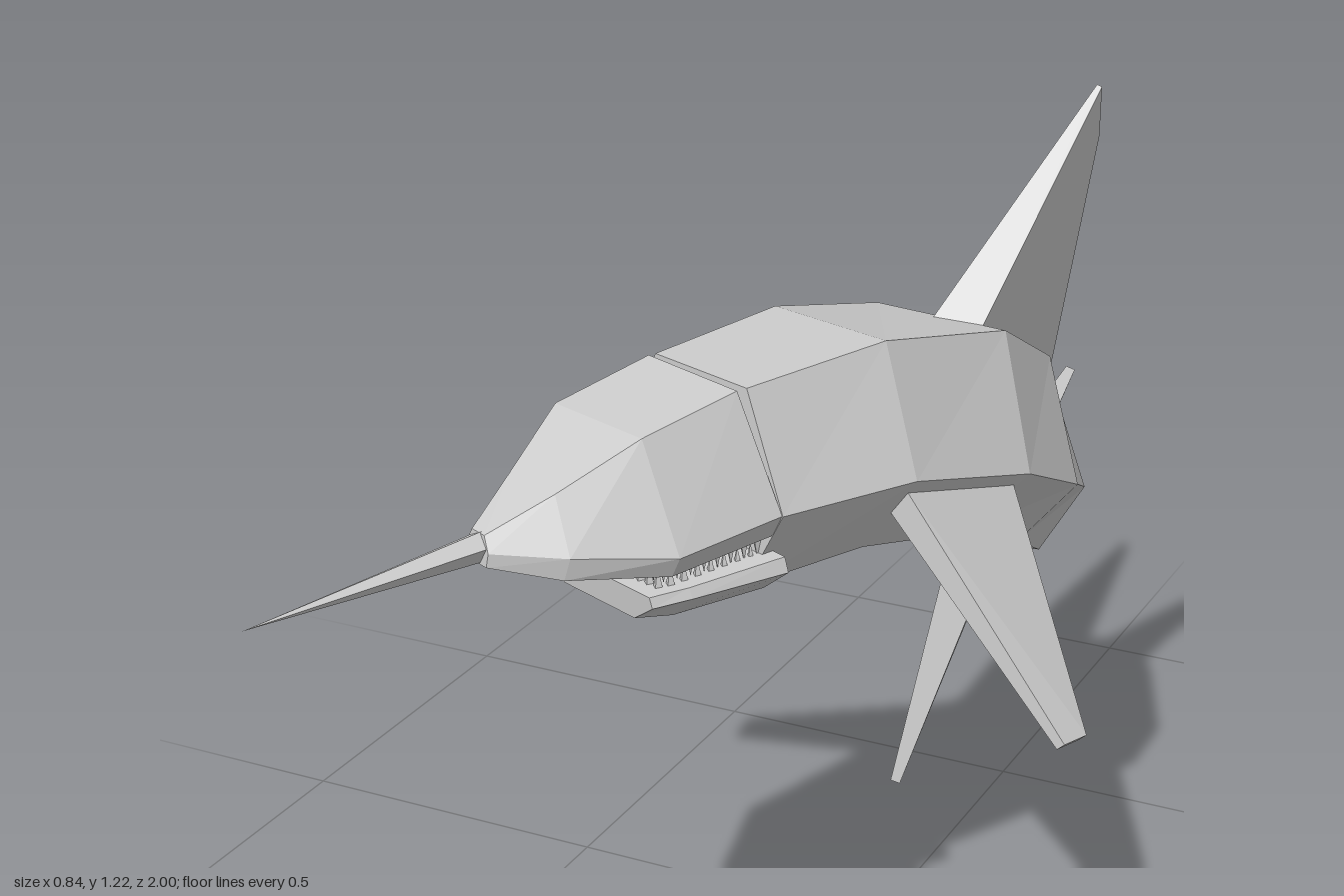
import * as THREE from 'three';
import { ConvexGeometry } from 'three/addons/geometries/ConvexGeometry.js';

const V = (x, y, z) => new THREE.Vector3(x, y, z);
const material = new THREE.MeshStandardMaterial({ color: 0xcccccc, flatShading: true, side: THREE.DoubleSide });

function part(name, geometry) {
  const mesh = new THREE.Mesh(geometry, material);
  mesh.name = name;
  return mesh;
}

// Six-sided loft; each station is [x, y, z, half width, height above, depth below], front to back.
function loft(stations, topRatio, bottomRatio) {
  const centres = stations.map(([x, y, z]) => V(x, y, z));
  const positions = [], index = [], n = 6, last = stations.length - 1;
  stations.forEach(([, , , w, up, down], i) => {
    const forward = centres[Math.max(i - 1, 0)].clone().sub(centres[Math.min(i + 1, last)]).normalize();
    const side = V(0, 1, 0).cross(forward).normalize();
    const top = forward.clone().cross(side);
    const ring = [[topRatio * w, up], [w, 0], [bottomRatio * w, -down],
      [-bottomRatio * w, -down], [-w, 0], [-topRatio * w, up]];
    for (const [a, b] of ring) {
      positions.push(...centres[i].clone().addScaledVector(side, a).addScaledVector(top, b).toArray());
    }
  });
  for (let i = 0; i < last; i++) {
    for (let j = 0; j < n; j++) {
      const a = i * n + j, b = i * n + (j + 1) % n;
      index.push(a, a + n, b, b, a + n, b + n);
    }
  }
  // End caps
  for (let j = 1; j < n - 1; j++) {
    index.push(0, j, j + 1, last * n, last * n + j + 1, last * n + j);
  }
  const g = new THREE.BufferGeometry();
  g.setAttribute('position', new THREE.Float32BufferAttribute(positions, 3));
  g.setIndex(index);
  const flat = g.toNonIndexed();
  flat.computeVertexNormals();
  return flat;
}

// Tapered fin plate; corners are [x, y, z, half thickness].
function fin(corners) {
  const p = corners.map(([x, y, z]) => V(x, y, z));
  const normal = p[2].clone().sub(p[0]).cross(p[3].clone().sub(p[1])).normalize();
  const points = [];
  p.forEach((v, i) => {
    for (const s of [1, -1]) points.push(v.clone().addScaledVector(normal, s * corners[i][3]));
  });
  return new ConvexGeometry(points);
}

// Cone running from one point to another.
function spike(from, to, radius, sides) {
  const axis = to.clone().sub(from);
  const g = new THREE.ConeGeometry(radius, axis.length(), sides);
  g.applyQuaternion(new THREE.Quaternion().setFromUnitVectors(V(0, 1, 0), axis.clone().normalize()));
  const mid = from.clone().add(to).multiplyScalar(0.5);
  return g.translate(mid.x, mid.y, mid.z);
}

export function createModel() {
  const model = new THREE.Group();
  model.name = 'hornedShark';

  // Curved trunk
  model.add(part('body', loft([
    [-0.06, 0.865, 0.4, 0.155, 0.148, 0.115],
    [0.01, 0.855, 0.21, 0.178, 0.165, 0.11],
    [0.06, 0.79, 0.01, 0.187, 0.18, 0.1],
    [0.065, 0.69, -0.17, 0.17, 0.175, 0.095],
    [0.05, 0.61, -0.32, 0.135, 0.14, 0.1],
    [0.015, 0.55, -0.43, 0.09, 0.11, 0.075],
    [-0.035, 0.465, -0.51, 0.036, 0.07, 0.07],
  ], 0.55, 0.57)));

  // Upper head and snout
  model.add(part('head', loft([
    [-0.185, 0.882, 0.72, 0.024, 0.02, 0.018],
    [-0.155, 0.872, 0.655, 0.08, 0.07, 0.03],
    [-0.12, 0.855, 0.545, 0.148, 0.135, 0.028],
    [-0.06, 0.865, 0.395, 0.155, 0.148, 0.03],
  ], 0.55, 0.9)));
  model.add(part('horn', spike(V(-0.18, 0.884, 0.71), V(-0.317, 0.87, 1), 0.02, 5)));

  // Lower jaw
  model.add(part('lowerJaw', loft([
    [-0.125, 0.777, 0.55, 0.108, 0.014, 0.026],
    [-0.105, 0.78, 0.5, 0.125, 0.014, 0.038],
    [-0.05, 0.785, 0.38, 0.15, 0.02, 0.04],
  ], 0.96, 0.65)));

  // Two interlocking rows of teeth around the mouth
  const teeth = new THREE.Group();
  teeth.name = 'teeth';
  const gum = [[-0.175, 0.39], [-0.21, 0.5], [-0.03, 0.56], [0.05, 0.43]];
  const counts = [6, 12, 8];
  counts.forEach((count, s) => {
    const [a, b] = [gum[s], gum[s + 1]];
    for (let i = 0; i < count; i++) {
      for (const upper of [true, false]) {
        const t = (i + (upper ? 0.25 : 0.75)) / count;
        const x = a[0] + (b[0] - a[0]) * t, z = a[1] + (b[1] - a[1]) * t;
        const base = V(x, upper ? 0.832 : 0.786, z);
        const tip = V(x, upper ? 0.797 : 0.82, z);
        teeth.add(part(upper ? 'upperTooth' : 'lowerTooth', spike(base, tip, 0.008, 4)));
      }
    }
  });
  model.add(teeth);

  // Fins
  model.add(part('dorsalFin', fin([
    [0.1, 0.95, -0.04, 0.035], [0.19, 1.225, -0.33, 0.004],
    [0.175, 1.145, -0.362, 0.006], [0.085, 0.81, -0.32, 0.05],
  ])));
  model.add(part('leftPectoralFin', fin([
    [0.15, 0.825, 0.26, 0.02], [0.4, 0.54, 0.3, 0.007],
    [0.413, 0.535, 0.255, 0.007], [0.2, 0.77, 0.04, 0.025],
  ])));
  model.add(part('rightPectoralFin', fin([
    [-0.12, 0.81, 0.17, 0.025], [-0.41, 0.625, 0.09, 0.009],
    [-0.414, 0.635, 0.045, 0.009], [-0.09, 0.765, -0.04, 0.025],
  ])));

  // Tail lobes share the root and the fork
  const rootTop = [-0.03, 0.505, -0.56, 0.03], rootBottom = [-0.045, 0.42, -0.46, 0.035];
  const fork = [-0.148, 0.23, -0.72, 0.01];
  model.add(part('upperTailLobe', fin([rootTop, [-0.09, 0.53, -0.995, 0.008], fork, rootBottom])));
  model.add(part('lowerTailLobe', fin([rootTop, fork, [-0.146, 0.006, -0.39, 0.008], rootBottom])));

  return model;
}
